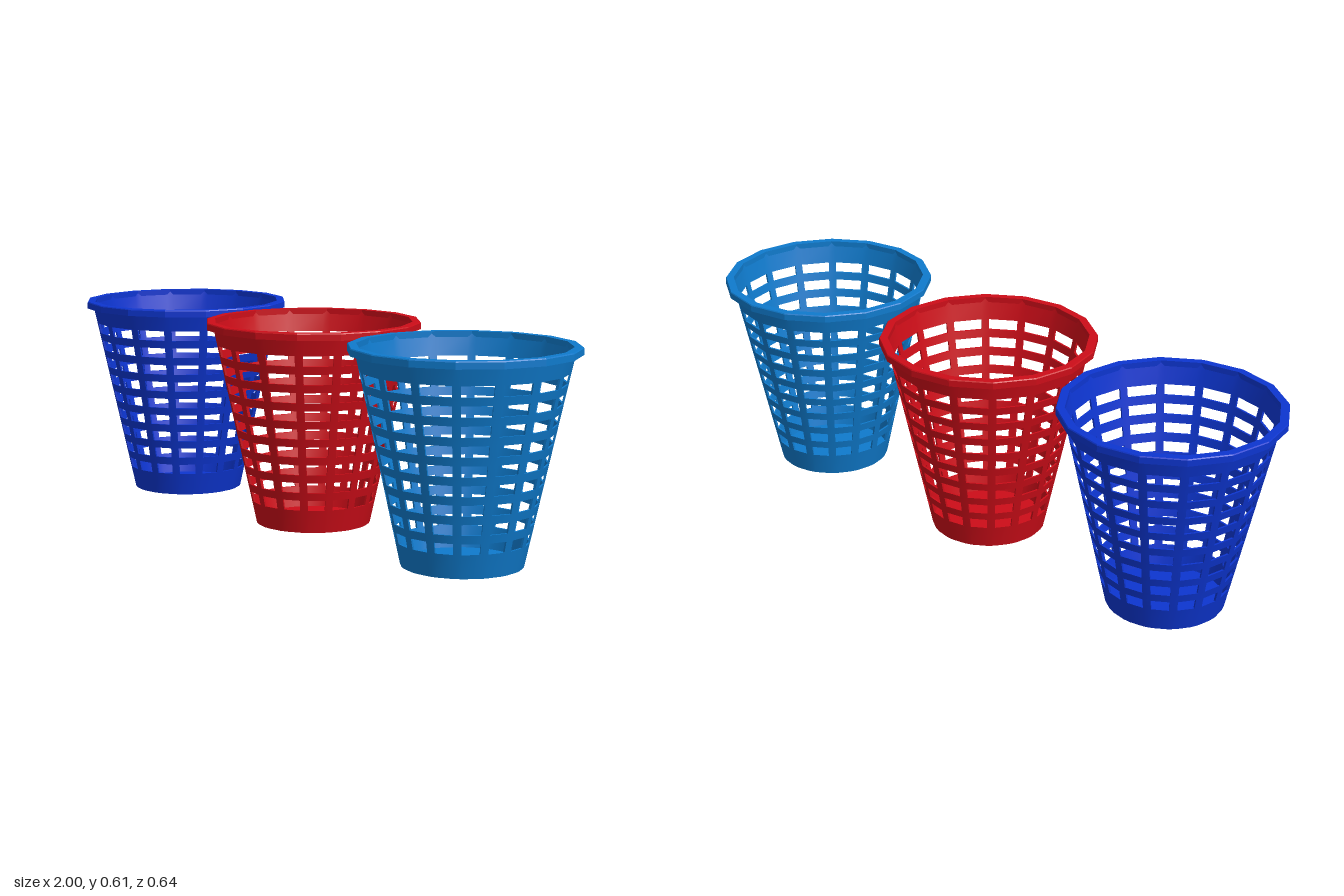
import * as THREE from 'three';
import { toCreasedNormals } from 'three/addons/utils/BufferGeometryUtils.js';

const RIBS = 16, ROWS = 9, RIB_HALF = 0.0115, THICK = 0.006, TOP = 0.6;
const radius = (y) => 0.17 + 0.2175 * y;

// Tapered lattice wall: solid bands and ribs with rectangular openings between
function wallGeometry() {
  const levels = [0];
  for (let i = 0; i < ROWS; i++) levels.push(0.069 + i * 0.0546, 0.1 + i * 0.0546);
  levels.push(TOP);

  // Point on column edge k (two edges per rib) at height y, inset from the outside
  const point = (k, y, inset) => {
    const side = k % 2 ? 1 : -1;
    const a = Math.floor(k / 2) * (2 * Math.PI / RIBS) + side * RIB_HALF / radius(y);
    const r = radius(y) - inset;
    return [r * Math.sin(a), y, r * Math.cos(a)];
  };
  const positions = [];
  const quad = (a, b, c, d) => positions.push(...a, ...b, ...c, ...a, ...c, ...d);

  for (let row = 0; row < levels.length - 1; row++) {
    for (let k = 0; k < RIBS * 2; k++) {
      const corners = (inset) => [
        point(k, levels[row], inset), point(k + 1, levels[row], inset),
        point(k + 1, levels[row + 1], inset), point(k, levels[row + 1], inset)];
      const o = corners(0), n = corners(THICK);
      if (row % 2 && k % 2) {
        // Opening: four reveals through the wall
        for (let e = 0; e < 4; e++) {
          const f = (e + 1) % 4;
          quad(o[e], o[f], n[f], n[e]);
        }
      } else {
        quad(o[0], o[1], o[2], o[3]);
        quad(n[1], n[0], n[3], n[2]);
      }
    }
  }
  const geometry = new THREE.BufferGeometry();
  geometry.setAttribute('position', new THREE.Float32BufferAttribute(positions, 3));
  return toCreasedNormals(geometry, 0.5);
}

// Flat-sided lip around the mouth
function rimGeometry() {
  const profile = [[0.294, 0.584], [0.319, 0.584], [0.319, 0.602], [0.317, 0.605], [0.294, 0.605], [0.294, 0.584]]
    .map(([x, y]) => new THREE.Vector2(x, y));
  return toCreasedNormals(new THREE.LatheGeometry(profile, RIBS), 0.3);
}

function floorGeometry() {
  return new THREE.CylinderGeometry(0.1695, 0.1685, 0.008, RIBS * 2).translate(0, 0.004, 0);
}

export function createModel() {
  const model = new THREE.Group();
  model.name = 'baskets';
  const parts = { wall: wallGeometry(), rim: rimGeometry(), floor: floorGeometry() };
  const baskets = [
    ['blueBasket', 0x0d35d0, -0.681],
    ['redBasket', 0xcc0d18, 0],
    ['lightBlueBasket', 0x0f7acc, 0.681],
  ];
  for (const [name, color, x] of baskets) {
    const basket = new THREE.Group();
    basket.name = name;
    basket.position.x = x;
    const material = new THREE.MeshStandardMaterial({ color });
    for (const [part, geometry] of Object.entries(parts)) {
      const mesh = new THREE.Mesh(geometry, material);
      mesh.name = part;
      basket.add(mesh);
    }
    model.add(basket);
  }
  return model;
}
